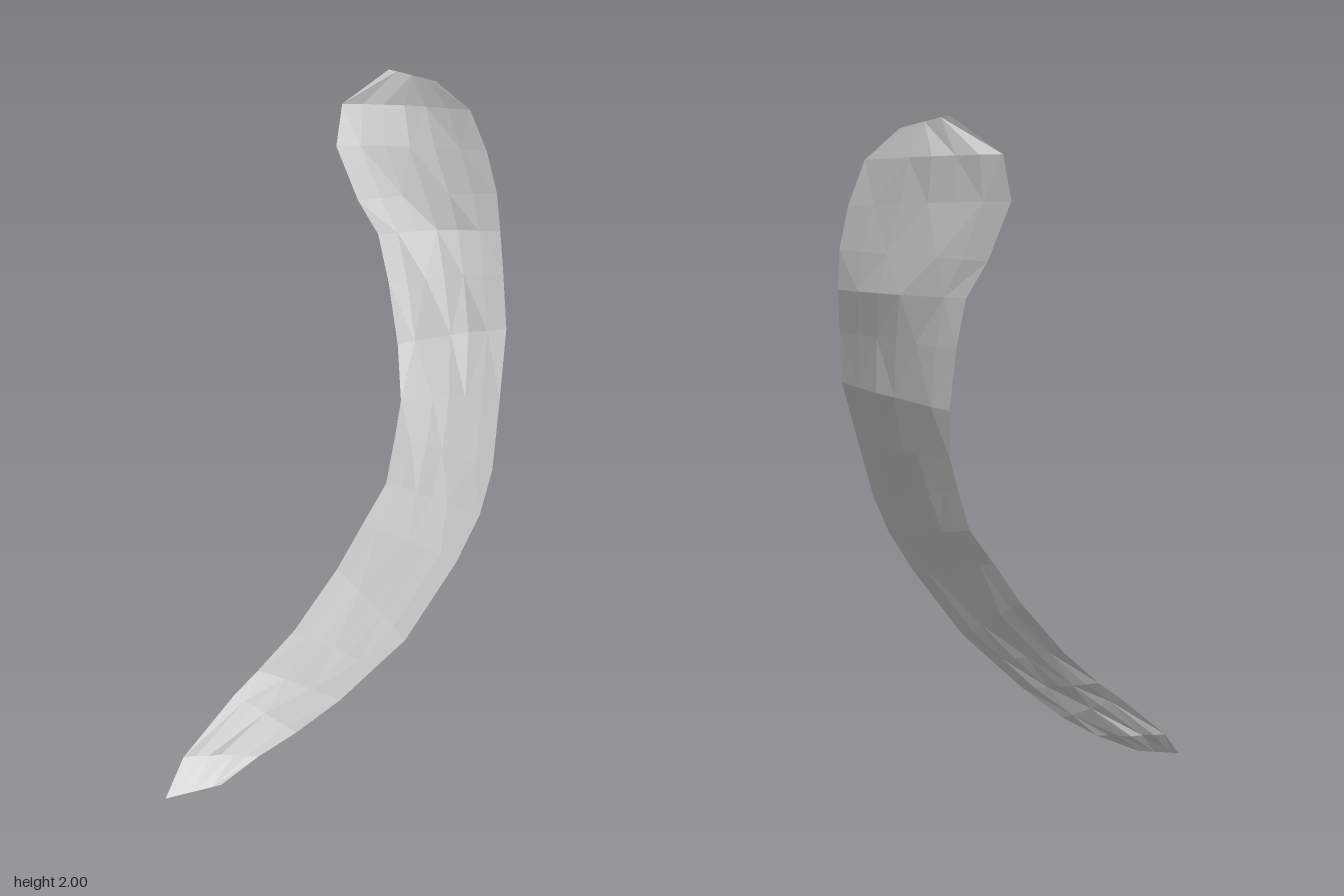
import * as THREE from 'three';

// Cross-sections from foot to head: inner edge xyz, outer edge xyz, depth of the cupping
const SECTIONS = [
  [-0.51, 0.0, 0.385, -0.35, 0.02, 0.35, 0],
  [-0.46, 0.09, 0.31, -0.24, 0.085, 0.305, 0.01],
  [-0.31, 0.24, 0.215, -0.13, 0.15, 0.287, 0.01],
  [-0.24, 0.30, 0.18, 0.0, 0.25, 0.28, 0.01],
  [-0.13, 0.41, 0.14, 0.10, 0.345, 0.27, 0.01],
  [0.0, 0.58, 0.08, 0.19, 0.43, 0.262, 0.01],
  [0.08, 0.71, 0.04, 0.34, 0.65, 0.21, 0.012],
  [0.15, 0.82, 0.0, 0.41, 0.78, 0.17, 0.015],
  [0.18, 0.95, -0.055, 0.45, 0.90, 0.12, 0.015],
  [0.20, 1.05, -0.10, 0.48, 1.08, 0.02, 0.02],
  [0.195, 1.20, -0.18, 0.51, 1.27, -0.09, 0.025],
  [0.17, 1.38, -0.24, 0.505, 1.42, -0.15, 0.03],
  [0.14, 1.52, -0.28, 0.50, 1.54, -0.205, 0.045],
  [0.08, 1.62, -0.295, 0.49, 1.65, -0.232, 0.05],
  [0.015, 1.78, -0.325, 0.46, 1.77, -0.255, 0.05],
  [0.035, 1.90, -0.375, 0.41, 1.89, -0.28, 0.04],
  [0.175, 2.0, -0.38, 0.31, 1.97, -0.325, 0.004],
];
const COLUMNS = 6;

// Small repeatable unevenness for the faceted surface
const wobble = (i, j) => {
  const s = Math.sin(i * 12.99 + j * 78.23) * 437.58;
  return (s - Math.floor(s) - 0.5) * 0.01;
};

function buildSheet() {
  const positions = [];
  const index = [];
  const last = SECTIONS.length - 1;
  SECTIONS.forEach(([ax, ay, az, bx, by, bz, cup], i) => {
    for (let j = 0; j <= COLUMNS; j++) {
      const u = j / COLUMNS;
      const bow = 4 * u * (1 - u);
      const inside = j > 0 && j < COLUMNS && i > 0 && i < last;
      positions.push(
        THREE.MathUtils.lerp(ax, bx, u),
        THREE.MathUtils.lerp(ay, by, u),
        THREE.MathUtils.lerp(az, bz, u) - cup * bow + (inside ? wobble(i, j) : 0)
      );
    }
  });
  for (let i = 0; i < last; i++) {
    for (let j = 0; j < COLUMNS; j++) {
      const a = i * (COLUMNS + 1) + j;
      const b = a + 1;
      const c = a + COLUMNS + 1;
      const d = c + 1;
      // Alternating diagonals
      if ((i + j) % 2) index.push(a, b, d, a, d, c);
      else index.push(a, b, c, b, d, c);
    }
  }
  const indexed = new THREE.BufferGeometry();
  indexed.setAttribute('position', new THREE.Float32BufferAttribute(positions, 3));
  indexed.setIndex(index);
  const geometry = indexed.toNonIndexed();
  geometry.computeVertexNormals();
  return geometry;
}

export function createModel() {
  const paleGrey = new THREE.MeshStandardMaterial({
    name: 'paleGrey', color: 0xcccccc, flatShading: true, side: THREE.DoubleSide,
  });
  const group = new THREE.Group();
  group.name = 'curvedStrip';

  // Thin twisting strip with a cupped, rounded head
  const strip = new THREE.Mesh(buildSheet(), paleGrey);
  strip.name = 'strip';
  group.add(strip);
  return group;
}
